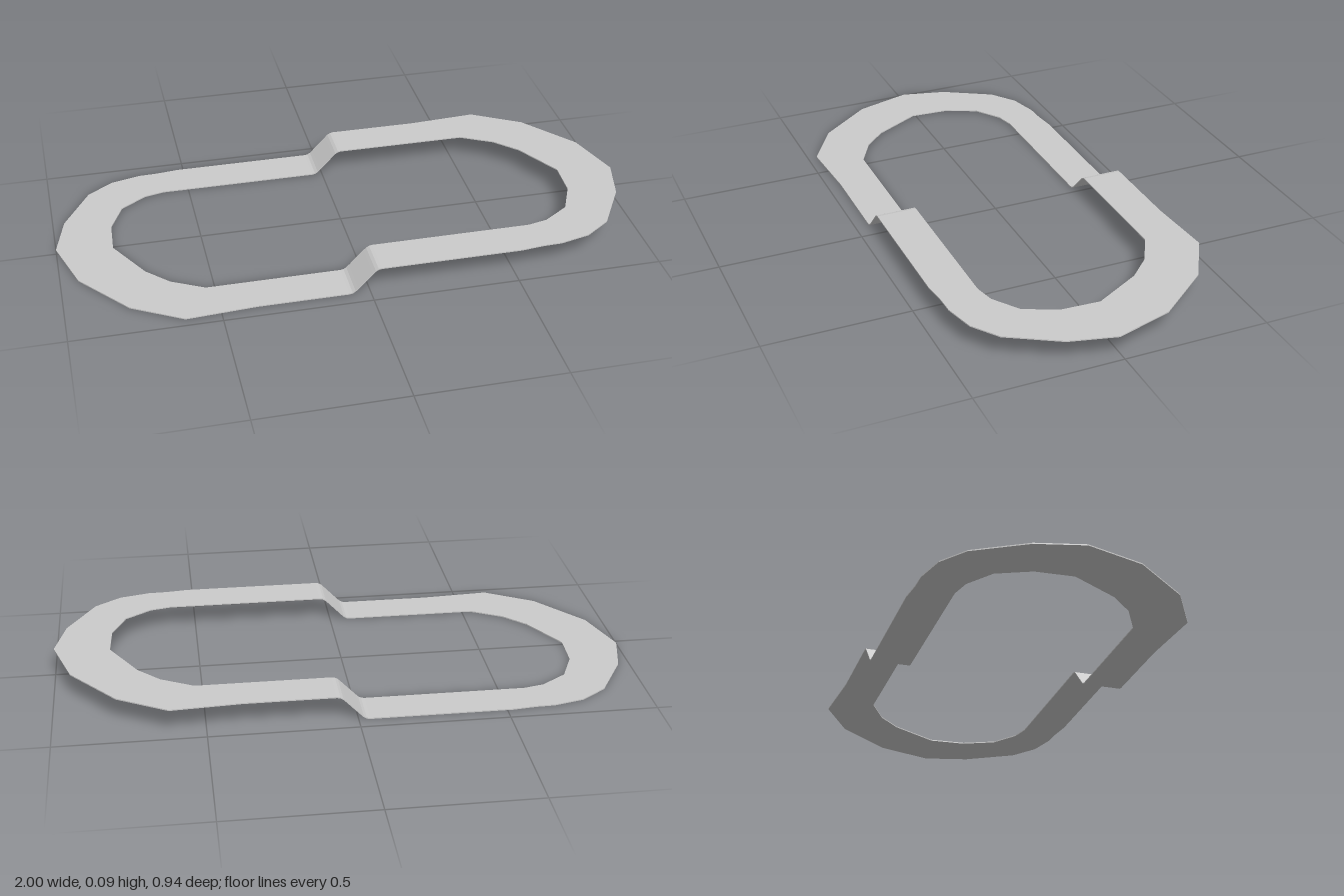
import * as THREE from 'three';

const T = 0.004;          // sheet thickness
const RISE = 0.086;       // height between the two levels
const OUT = 0.452, IN = 0.313;
const SHIFT = 0.0175, HALF_RAMP = 0.055;

export function createModel() {
  const group = new THREE.Group();
  const material = new THREE.MeshStandardMaterial({ color: 0xcccccc, flatShading: true });
  const add = (name, geometry) => {
    const mesh = new THREE.Mesh(geometry, material);
    mesh.name = name;
    group.add(mesh);
    return mesh;
  };
  const toShape = pts => new THREE.Shape(pts.map(p => new THREE.Vector2(...p)));

  // U-shaped end of the loop as (x, z) points: outer edge, then inner edge back
  const front = HALF_RAMP - SHIFT, back = HALF_RAMP + SHIFT;
  const endShape = toShape([
    [back, -OUT], [0.38, -OUT], [0.62, -0.4675], [0.79, -0.367], [0.94, -0.178],
    [1, 0.02], [0.96, 0.18], [0.86, 0.351], [0.77, 0.415], [0.665, 0.441],
    [0.6, 0.443], [0.52, OUT], [front, OUT],
    [front, IN], [0.59, IN], [0.66, 0.297], [0.75, 0.235], [0.8, 0.122],
    [0.807, -0.01], [0.715, -0.176], [0.64, -0.253], [0.53, -IN], [back, -IN],
  ]);
  const endGeometry = new THREE.ExtrudeGeometry(endShape, { depth: T, bevelEnabled: false });
  endGeometry.rotateX(Math.PI / 2).translate(0, T, 0);

  // Upper end, and the lower end turned half way round
  add('upperEnd', endGeometry).position.y = RISE;
  add('lowerEnd', endGeometry).rotation.y = Math.PI;

  // S-shaped ramps joining the two levels
  const lowerCurve = [[-HALF_RAMP, 0], [-0.044, 0.002], [-0.034, 0.008], [-0.024, 0.018]];
  const upperCurve = lowerCurve.map(([x, y]) => [-x, RISE - y]).reverse();
  const curve = [...lowerCurve, ...upperCurve];
  const rampShape = toShape([...curve, ...curve.map(([x, y]) => [x, y + T]).reverse()]);
  const rampGeometry = new THREE.ExtrudeGeometry(rampShape, { depth: OUT - IN, bevelEnabled: false });
  add('frontRamp', rampGeometry).position.set(-SHIFT, 0, IN);
  add('backRamp', rampGeometry).position.set(SHIFT, 0, -OUT);

  return group;
}
